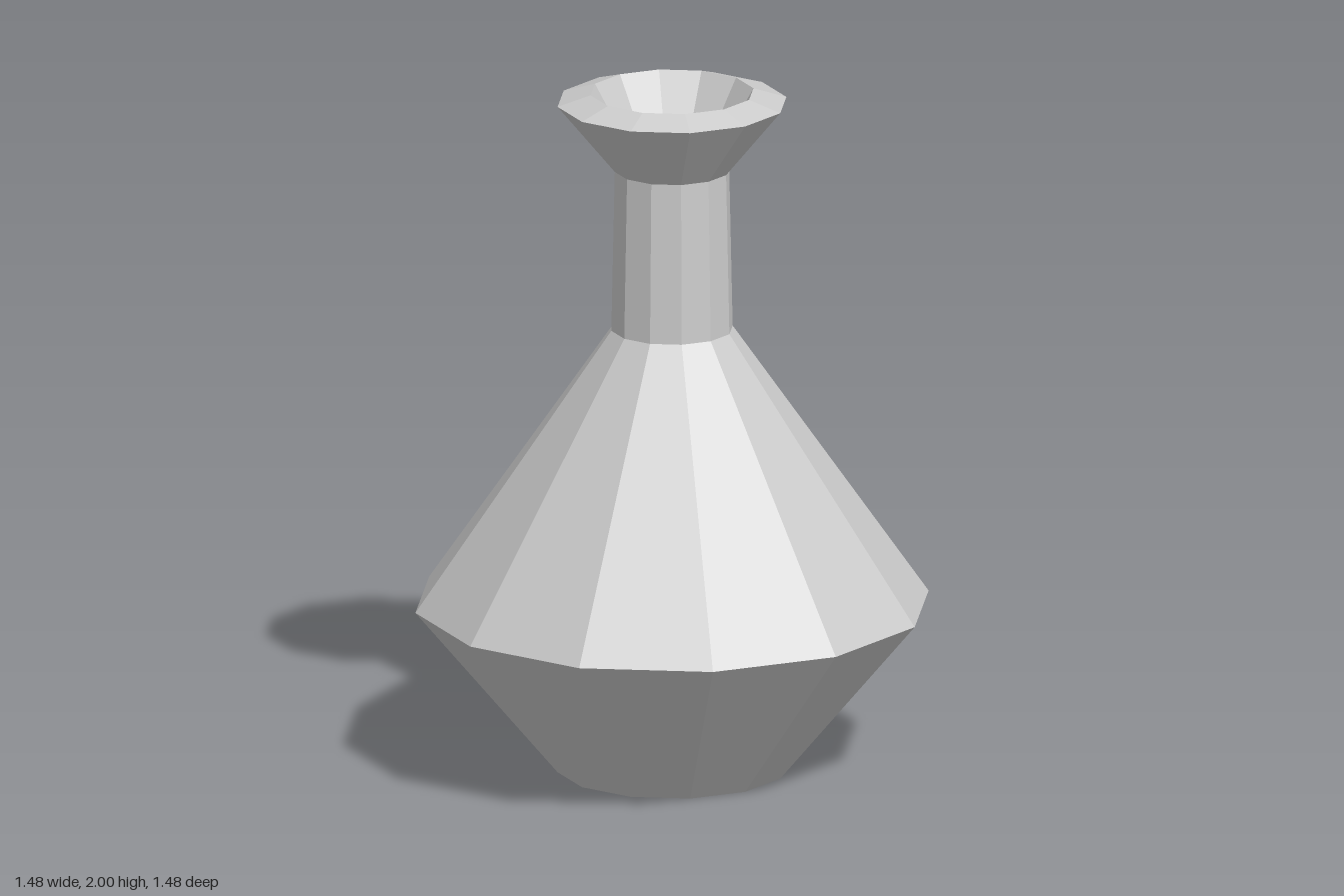
import * as THREE from 'three';

const SIDES = 12;

export function createModel() {
  const group = new THREE.Group();
  group.name = 'bottle';

  const grey = new THREE.MeshStandardMaterial({ color: 0xcccccc, flatShading: true });
  grey.name = 'grey';

  // Turns a [radius, height] profile into a faceted part
  const turn = (name, profile) => {
    const points = profile.map(([r, y]) => new THREE.Vector2(r, y));
    const mesh = new THREE.Mesh(new THREE.LatheGeometry(points, SIDES), grey);
    mesh.name = name;
    group.add(mesh);
  };

  // Recessed foot, wide belly and sloping shoulder
  turn('body', [[0, 0.07], [0.21, 0.07], [0.33, 0], [0.74, 0.49], [0.175, 1.3]]);

  // Slightly tapered neck
  turn('neck', [[0.175, 1.3], [0.165, 1.77]]);

  // Flared lip with bevelled rim and shallow closed mouth
  turn('lip', [[0.165, 1.77], [0.33, 1.97], [0.235, 2], [0.165, 1.88], [0, 1.88]]);

  return group;
}
